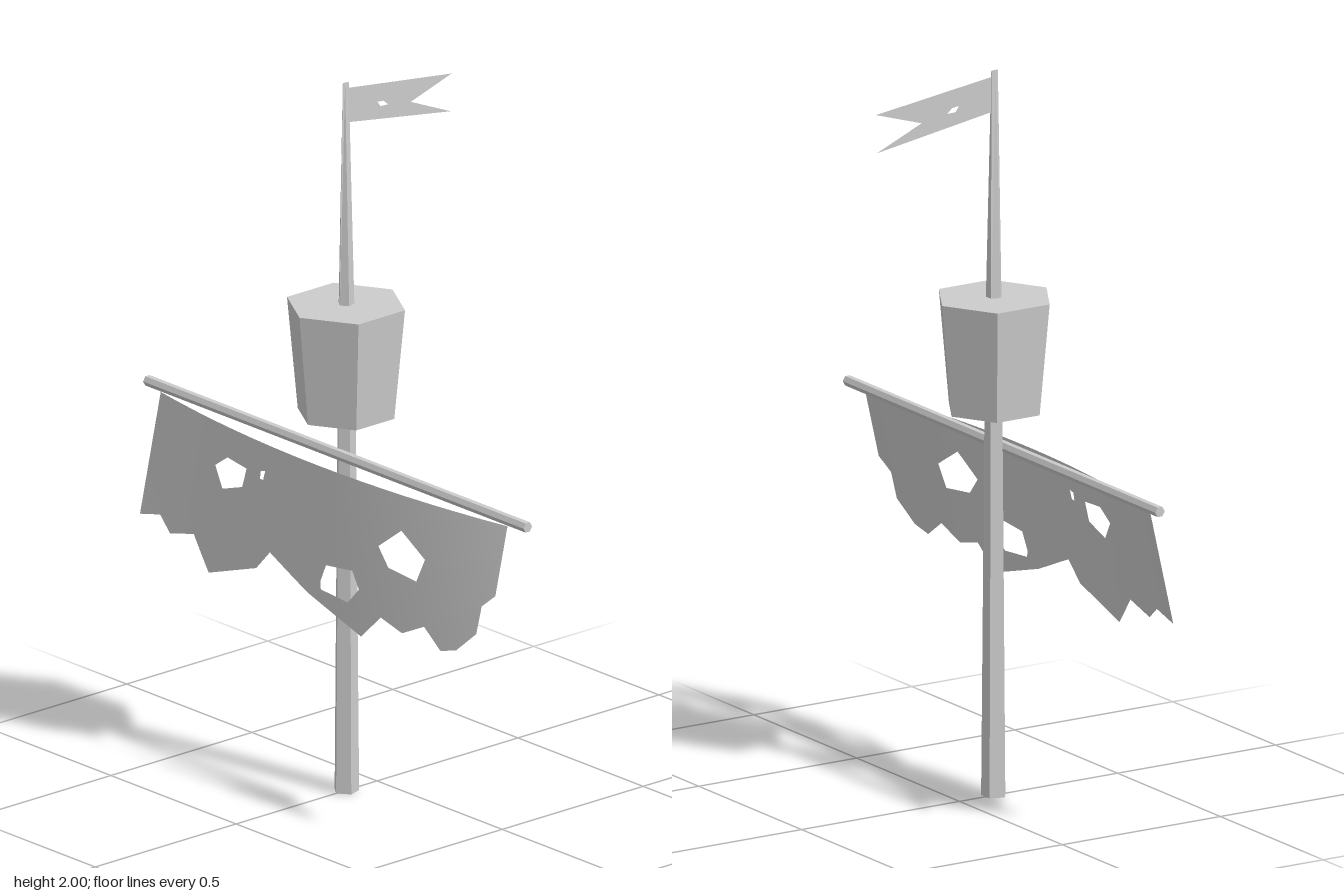
import * as THREE from 'three';
import { mergeVertices } from 'three/addons/utils/BufferGeometryUtils.js';

const flat = new THREE.MeshStandardMaterial({ color: 0xcccccc, flatShading: true });
const cloth = new THREE.MeshStandardMaterial({ color: 0xcccccc, side: THREE.DoubleSide });
const MAST_Z = 0.11;

const toPoints = (list) => list.map(([x, y]) => new THREE.Vector2(x, y));

// Flat cloth with holes
function clothGeometry(outline, holes) {
  const shape = new THREE.Shape(toPoints(outline));
  for (const hole of holes) shape.holes.push(new THREE.Path(toPoints(hole)));
  return new THREE.ShapeGeometry(shape);
}

// Split every triangle into four, so the cloth can bend
function subdivide(geometry) {
  const p = geometry.toNonIndexed().attributes.position;
  const out = [];
  const v = () => new THREE.Vector3();
  for (let i = 0; i < p.count; i += 3) {
    const [a, b, c] = [0, 1, 2].map((k) => v().fromBufferAttribute(p, i + k));
    const ab = v().lerpVectors(a, b, 0.5);
    const bc = v().lerpVectors(b, c, 0.5);
    const ca = v().lerpVectors(c, a, 0.5);
    for (const q of [a, ab, ca, ab, b, bc, ca, bc, c, ab, bc, ca]) out.push(q.x, q.y, q.z);
  }
  const result = new THREE.BufferGeometry();
  result.setAttribute('position', new THREE.Float32BufferAttribute(out, 3));
  return mergeVertices(result);
}

export function createModel() {
  const group = new THREE.Group();
  const add = (name, geometry, material, x = 0, y = 0, z = 0) => {
    const mesh = new THREE.Mesh(geometry, material);
    mesh.name = name;
    mesh.position.set(x, y, z);
    group.add(mesh);
    return mesh;
  };

  // Five-sided mast, whose upper part narrows to a thin wedge
  add('lowerMast', new THREE.CylinderGeometry(0.024, 0.035, 1.3, 5), flat, 0, 0.65, MAST_Z);
  const upper = new THREE.CylinderGeometry(0.0115, 0.024, 0.7, 5);
  const up = upper.attributes.position;
  for (let i = 0; i < up.count; i++) if (up.getY(i) > 0) up.setX(i, up.getX(i) * 0.05);
  add('upperMast', upper, flat, 0, 1.65, MAST_Z);

  // Six-sided lookout tub
  add('lookout', new THREE.CylinderGeometry(0.165, 0.135, 0.31, 6), flat, 0, 1.22, MAST_Z);

  // Horizontal yard
  const yard = new THREE.CylinderGeometry(0.015, 0.015, 1.52, 6).rotateZ(Math.PI / 2);
  add('yard', yard, flat, 0, 0.958, 0.14);

  // Torn sail
  let sail = clothGeometry(
    [[-0.695, 0.945], [-0.693, 0.62], [-0.61, 0.641], [-0.557, 0.604], [-0.462, 0.63],
      [-0.383, 0.546], [-0.197, 0.609], [-0.149, 0.665], [0.01, 0.599], [0.232, 0.535],
      [0.298, 0.604], [0.383, 0.583], [0.46, 0.62], [0.531, 0.572], [0.587, 0.588],
      [0.648, 0.646], [0.651, 0.721], [0.691, 0.758], [0.691, 0.945]],
    [
      [[-0.409, 0.832], [-0.361, 0.866], [-0.277, 0.859], [-0.287, 0.806], [-0.367, 0.779]],
      [[-0.218, 0.869], [-0.2, 0.874], [-0.205, 0.848], [-0.218, 0.848]],
      [[0.261, 0.79], [0.338, 0.851], [0.433, 0.795], [0.412, 0.731], [0.306, 0.742]],
      [[0.057, 0.64], [0.073, 0.689], [0.174, 0.7], [0.206, 0.657], [0.169, 0.612], [0.062, 0.62]],
    ]
  );
  for (let i = 0; i < 4; i++) sail = subdivide(sail);
  // The sail bellies forward in the middle and slopes forward toward its hem
  const sp = sail.attributes.position;
  for (let i = 0; i < sp.count; i++) {
    const belly = 1 - (sp.getX(i) / 0.695) ** 2;
    const drop = (0.945 - sp.getY(i)) / 0.41;
    sp.setZ(i, THREE.MathUtils.lerp(0.15 + 0.065 * belly, 0.245 + 0.02 * belly, drop));
  }
  sail.computeVertexNormals();
  add('sail', sail, cloth);

  // Swallow-tailed pennant streaming backward, drawn as (z, y)
  const pennant = clothGeometry(
    [[0.105, 1.983], [-0.265, 1.934], [-0.12, 1.889], [-0.262, 1.828], [0.105, 1.886]],
    [[[-0.002, 1.918], [-0.023, 1.916], [-0.039, 1.902], [-0.012, 1.903]]]
  ).rotateY(-Math.PI / 2);
  add('pennant', pennant, cloth);

  return group;
}
